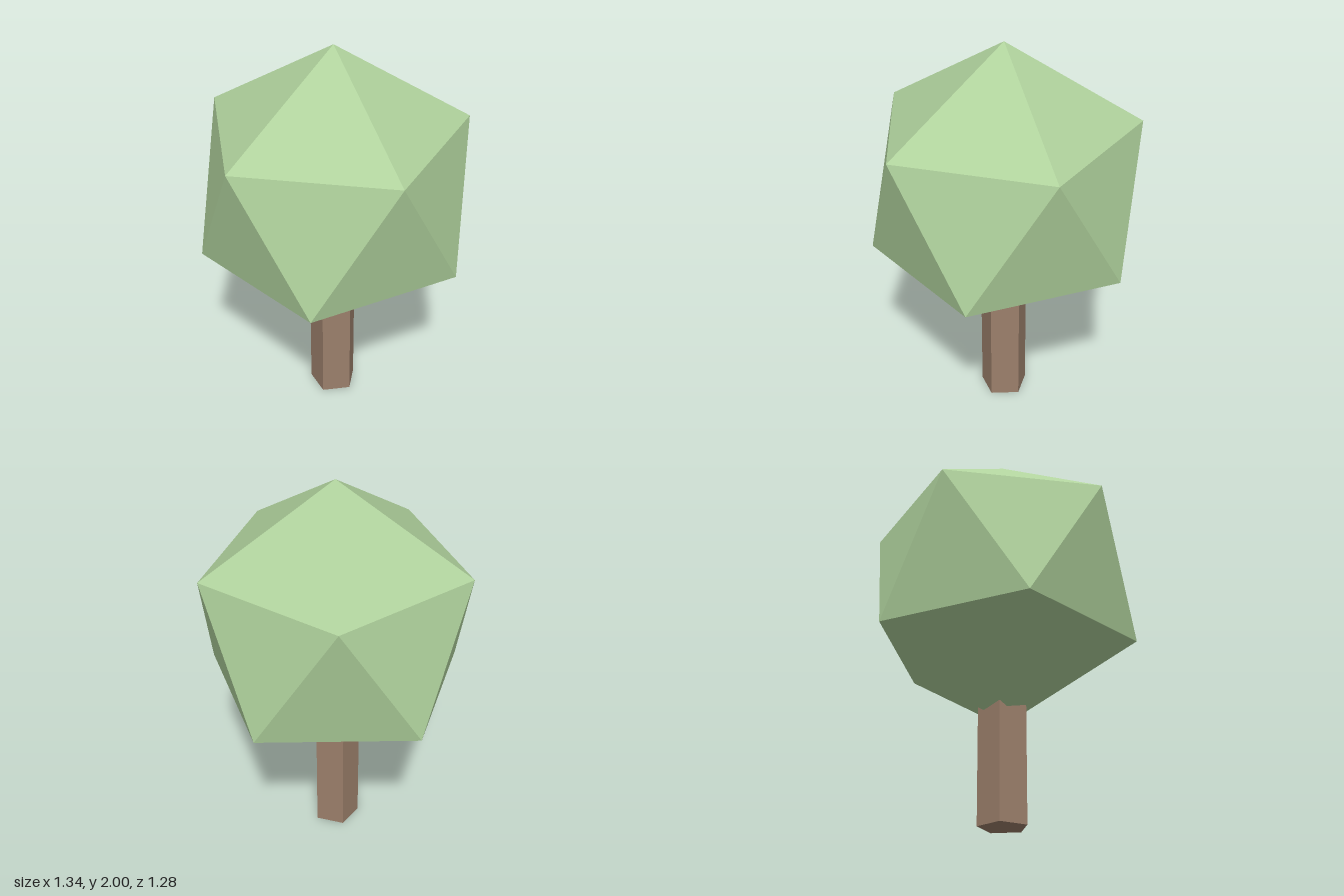
import * as THREE from 'three';

// Twenty-sided crown standing on one corner: top point, two rings of five, bottom point
function crownGeometry(radius) {
  const ringY = 1 / Math.sqrt(5), ringR = 2 / Math.sqrt(5);
  const points = [0, 1, 0, 0, -1, 0];
  for (let k = 0; k < 5; k++) {
    const a = (k * 2 * Math.PI) / 5, b = a + Math.PI / 5;
    points.push(ringR * Math.cos(a), ringY, ringR * Math.sin(a));
    points.push(ringR * Math.cos(b), -ringY, ringR * Math.sin(b));
  }
  const upper = (k) => 2 + 2 * (k % 5);
  const lower = (k) => 3 + 2 * (k % 5);
  const faces = [];
  for (let k = 0; k < 5; k++) {
    faces.push(0, upper(k + 1), upper(k));
    faces.push(upper(k), upper(k + 1), lower(k));
    faces.push(lower(k), upper(k + 1), lower(k + 1));
    faces.push(lower(k), lower(k + 1), 1);
  }
  return new THREE.PolyhedronGeometry(points, faces, radius, 0);
}

export function createModel() {
  const leafGreen = new THREE.MeshStandardMaterial({ color: 0xafd19c, flatShading: true });
  leafGreen.name = 'leafGreen';
  const barkBrown = new THREE.MeshStandardMaterial({ color: 0x9b7f6b, flatShading: true });
  barkBrown.name = 'barkBrown';

  const tree = new THREE.Group();
  tree.name = 'tree';

  // Five-sided trunk, flat side to the front, ending inside the crown
  const trunk = new THREE.Mesh(new THREE.CylinderGeometry(0.125, 0.125, 0.75, 5), barkBrown);
  trunk.name = 'trunk';
  trunk.position.y = 0.375;
  trunk.rotation.y = Math.PI;

  // Leafy crown
  const crown = new THREE.Mesh(crownGeometry(0.75), leafGreen);
  crown.name = 'crown';
  crown.position.y = 1.25;

  tree.add(trunk, crown);
  return tree;
}
